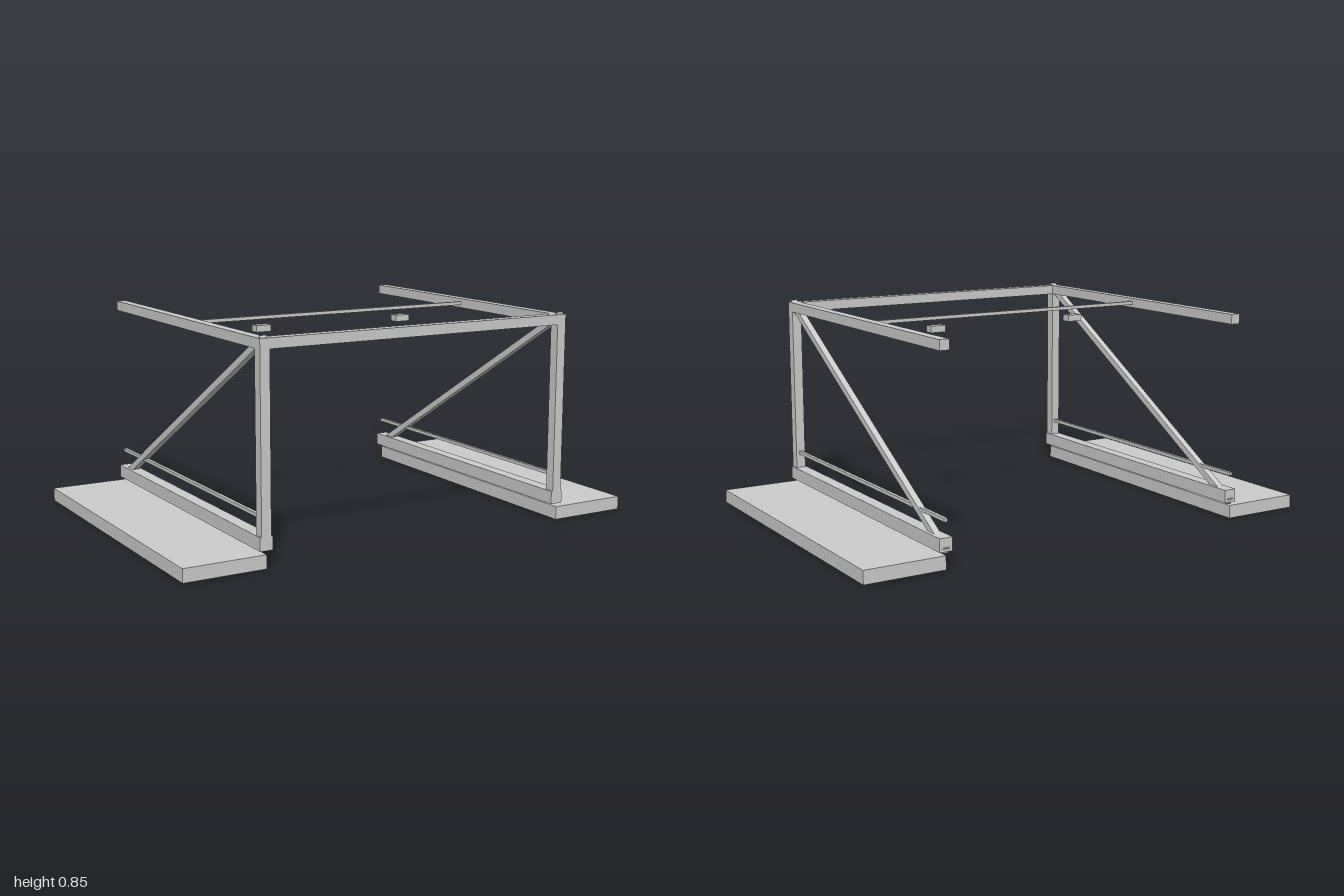
import * as THREE from 'three';

const material = new THREE.MeshStandardMaterial({ color: 0xcccccc, flatShading: true });

// Box given by its low and high limits on each axis
function box(name, [x0, x1], [y0, y1], [z0, z1]) {
  const mesh = new THREE.Mesh(new THREE.BoxGeometry(x1 - x0, y1 - y0, z1 - z0), material);
  mesh.name = name;
  mesh.position.set((x0 + x1) / 2, (y0 + y1) / 2, (z0 + z1) / 2);
  return mesh;
}

// Limits around a centre
const around = (c, size) => [c - size / 2, c + size / 2];

// Square bar running between two points
function bar(name, a, b, size) {
  const mesh = new THREE.Mesh(new THREE.BoxGeometry(size, size, a.distanceTo(b)), material);
  mesh.name = name;
  mesh.position.addVectors(a, b).multiplyScalar(0.5);
  mesh.lookAt(b);
  return mesh;
}

export function createModel() {
  const model = new THREE.Group();
  model.name = 'frame';
  const X = 0.667, Z = 0.667;
  const full = [-Z, Z], front = [Z - 0.042, Z], top = [0.804, 0.844];

  for (const [side, s] of [['left', 1], ['right', -1]]) {
    const group = new THREE.Group();
    group.name = side + 'Side';
    const x = s * X;
    group.add(
      // Ground slab and the sill beam at its inner edge
      box('groundSlab', around(s * (X + 1) / 2, 1 - X), [0, 0.054], full),
      box('sillBeam', around(x, 0.053), [0.068, 0.121], full),
      // Front post and the top rail
      box('frontPost', around(x, 0.04), [0.121, 0.804], front),
      box('topRail', around(x, 0.04), top, full),
      // Diagonal brace and the low thin rail
      bar('diagonalBrace', new THREE.Vector3(x, 0.841, Z - 0.007), new THREE.Vector3(x, 0.071, -Z + 0.003), 0.027),
      box('thinRail', around(x, 0.014), [0.18, 0.194], [-Z, Z - 0.042]),
      // Small lamp under the cross bar
      box('lamp', around(s * 0.333, 0.066), [0.767, 0.794], around(0, 0.04)),
    );
    model.add(group);
  }

  // Beams joining the two sides
  model.add(
    box('frontBeam', [-X + 0.02, X - 0.02], top, front),
    box('crossBar', [-X + 0.02, X - 0.02], around(0.824, 0.014), around(0, 0.014)),
  );
  return model;
}
